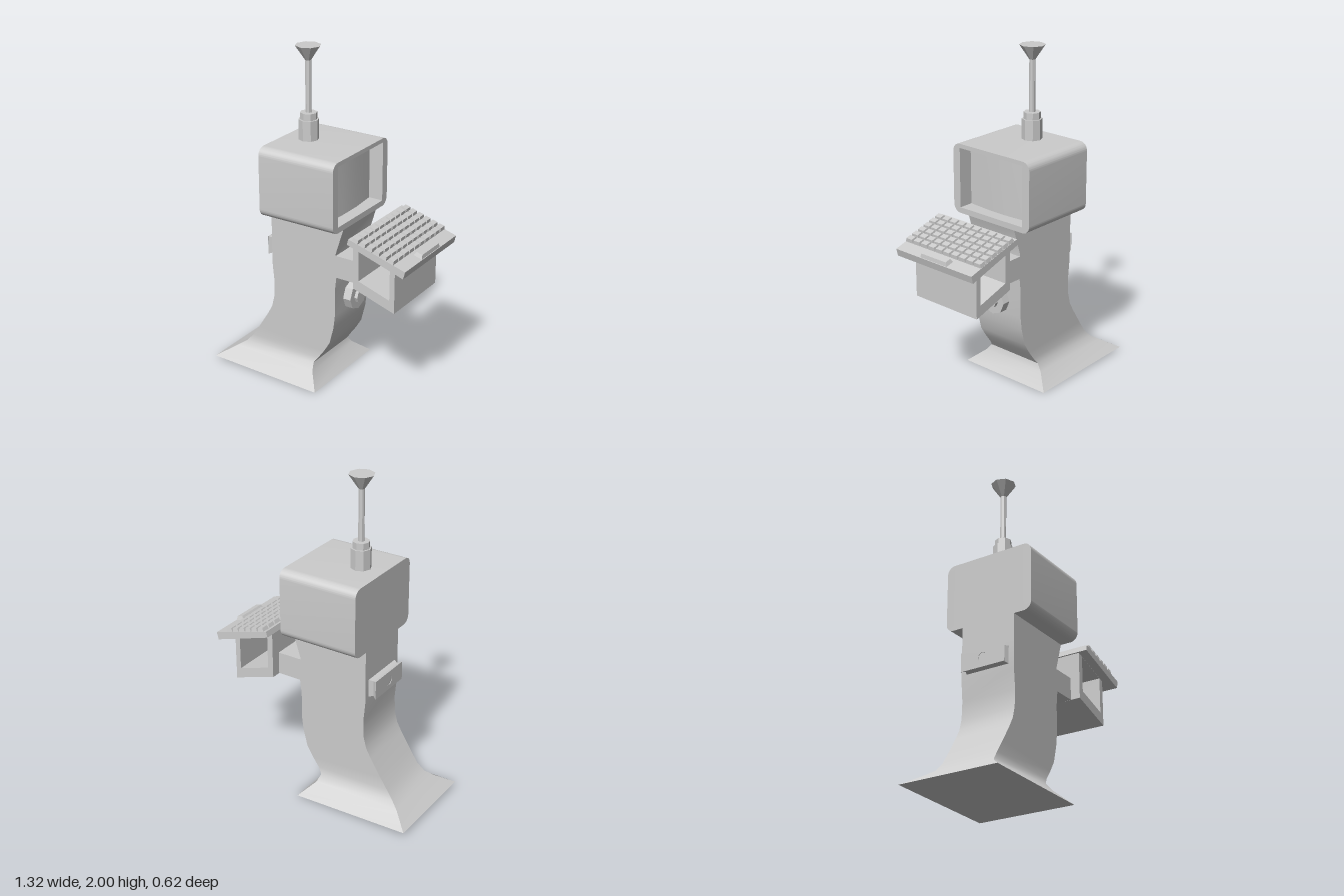
import * as THREE from 'three';
import { toCreasedNormals } from 'three/addons/utils/BufferGeometryUtils.js';

const material = new THREE.MeshStandardMaterial({ color: 0xcccccc });

function add(parent, name, geometry, x = 0, y = 0, z = 0) {
  const mesh = new THREE.Mesh(toCreasedNormals(geometry, 0.6), material);
  mesh.name = name;
  mesh.position.set(x, y, z);
  parent.add(mesh);
  return mesh;
}

// Skin a stack of four-cornered rings, each [backX, backY, frontX, frontY, halfWidthZ]
function loft(rows, capTop = true) {
  const pos = [], index = [], last = (rows.length - 1) * 4;
  for (const [bx, by, fx, fy, w] of rows) pos.push(bx, by, -w, bx, by, w, fx, fy, w, fx, fy, -w);
  for (let r = 0; r < last; r += 4) {
    for (let i = 0; i < 4; i++) {
      const j = (i + 1) % 4;
      index.push(r + i, r + j, r + 4 + j, r + i, r + 4 + j, r + 4 + i);
    }
  }
  index.push(0, 2, 1, 0, 3, 2);
  if (capTop) index.push(last, last + 1, last + 2, last, last + 2, last + 3);
  const g = new THREE.BufferGeometry();
  g.setAttribute('position', new THREE.Float32BufferAttribute(pos, 3));
  g.setIndex(index);
  g.computeVertexNormals();
  return g;
}

// Tapered block standing on y = 0
const block = (hx, hz, h, inset) =>
  loft([[-hx, 0, hx, 0, hz], [-hx + inset, h, hx - inset, h, hz - inset]]);

const polygon = (pts, Type = THREE.Shape) => new Type(pts.map(p => new THREE.Vector2(...p)));

// Side profile in x-y extruded symmetrically across z
function across(shape, halfWidth) {
  return new THREE.ExtrudeGeometry(shape, { depth: halfWidth * 2, bevelEnabled: false })
    .translate(0, 0, -halfWidth);
}

function roundedRect(w, h, r) {
  const s = new THREE.Shape();
  s.absarc(w - r, h - r, r, 0, Math.PI / 2);
  s.absarc(-w + r, h - r, r, Math.PI / 2, Math.PI);
  s.absarc(-w + r, -h + r, r, Math.PI, Math.PI * 1.5);
  s.absarc(w - r, -h + r, r, Math.PI * 1.5, Math.PI * 2);
  s.closePath();
  return s;
}

export function createModel() {
  const model = new THREE.Group();
  model.name = 'computerTerminal';

  // Curved pedestal flaring into a wide foot
  add(model, 'pedestal', loft([
    [-0.66, 0.024, 0.077, 0.003, 0.31],
    [-0.56, 0.087, 0, 0.08, 0.22],
    [-0.51, 0.12, -0.013, 0.12, 0.187],
    [-0.465, 0.17, 0.013, 0.157, 0.175],
    [-0.415, 0.246, 0.055, 0.215, 0.175],
    [-0.35, 0.35, 0.093, 0.278, 0.175],
    [-0.32, 0.405, 0.12, 0.384, 0.175],
    [-0.302, 0.475, 0.13, 0.465, 0.175],
    [-0.298, 0.58, 0.13, 0.63, 0.175],
    [-0.31, 0.7, 0.145, 0.76, 0.175],
    [-0.31, 0.865, 0.135, 0.865, 0.175],
    [-0.31, 1.04, 0.19, 1.04, 0.175],
  ]));

  // Monitor housing, open towards +x, with a gently bulging recessed screen
  const head = new THREE.Group();
  head.name = 'monitor';
  model.add(head);
  const shell = roundedRect(0.288, 0.21, 0.05);
  shell.holes.push(polygon([[-0.237, -0.175], [-0.237, 0.185], [0.237, 0.185], [0.237, -0.175]], THREE.Path));
  add(head, 'monitorShell', new THREE.ExtrudeGeometry(shell, { depth: 0.5, bevelEnabled: false, curveSegments: 8 })
    .rotateY(Math.PI / 2), -0.31, 1.24, 0);
  const screen = polygon([[-0.31, -0.237], [0.1, -0.237], [0.115, -0.07], [0.115, 0.07], [0.1, 0.237], [-0.31, 0.237]]);
  add(head, 'screen', new THREE.ExtrudeGeometry(screen, { depth: 0.36, bevelEnabled: false })
    .rotateX(-Math.PI / 2), 0, 1.065, 0);

  // Antenna: stepped socket, thin rod and funnel tip
  const antenna = new THREE.Group();
  antenna.name = 'antenna';
  antenna.position.x = -0.163;
  model.add(antenna);
  for (const [name, top, bottom, y0, y1] of [
    ['antennaSocket', 0.06, 0.06, 1.44, 1.57],
    ['antennaCollar', 0.05, 0.05, 1.57, 1.61],
    ['antennaRod', 0.018, 0.018, 1.61, 1.915],
    ['antennaTip', 0.075, 0.018, 1.915, 2],
  ]) add(antenna, name, new THREE.CylinderGeometry(top, bottom, y1 - y0, 8), 0, (y0 + y1) / 2, 0);

  // Arm and open bracket carrying the keyboard
  add(model, 'arm', new THREE.BoxGeometry(0.19, 0.137, 0.35), 0.205, 0.786, 0);
  const frame = polygon([[0.29, 1.02], [0.29, 0.717], [0.56, 0.632], [0.56, 0.93]]);
  frame.holes.push(polygon([[0.326, 0.99], [0.528, 0.925], [0.528, 0.705], [0.326, 0.77]], THREE.Path));
  add(model, 'bracket', across(frame, 0.235));

  // Keyboard: wedge tray, ten by six tapered keys and a wide bar
  const keyboard = new THREE.Group();
  keyboard.name = 'keyboard';
  model.add(keyboard);
  add(keyboard, 'tray', across(polygon([
    [0.283, 1.005], [0.643, 0.89], [0.655, 0.935], [0.292, 1.04]]), 0.29));
  const deckY = x => 1.037 - 0.289 * (x - 0.292);
  const keyGeometry = block(0.021, 0.027, 0.025, 0.005);
  for (let c = 0; c < 6; c++) {
    for (let r = 0; r < 10; r++) {
      const x = 0.331 + c * 0.0455;
      add(keyboard, 'key', keyGeometry, x, deckY(x), (r - 4.5) * 0.0583).rotation.z = -0.28;
    }
  }
  add(keyboard, 'wideBar', block(0.028, 0.103, 0.025, 0.01), 0.625, deckY(0.625), 0).rotation.z = -0.28;

  // Octagonal knob below the arm
  const knob = new THREE.Group();
  knob.name = 'knob';
  knob.position.set(0.12, 0.545, 0);
  knob.rotation.z = -Math.PI / 2;
  model.add(knob);
  add(knob, 'knobBase', new THREE.CylinderGeometry(0.087, 0.087, 0.06, 8), 0, 0.03, 0);
  add(knob, 'knobButton', new THREE.CylinderGeometry(0.043, 0.043, 0.08, 8), 0, 0.04, 0);

  // Waisted plate on the back with a round socket
  const plate = new THREE.Group();
  plate.name = 'backPlate';
  plate.position.set(-0.3, 0.787, 0);
  plate.rotation.z = Math.PI / 2;
  model.add(plate);
  add(plate, 'plateBody', loft([
    [-0.057, 0, 0.057, 0, 0.145], [-0.048, 0.035, 0.048, 0.035, 0.13], [-0.057, 0.06, 0.057, 0.06, 0.145]], false));
  const face = polygon([[-0.057, -0.145], [0.057, -0.145], [0.057, 0.145], [-0.057, 0.145]]);
  const hole = new THREE.Path();
  hole.absarc(0, 0, 0.03, 0, Math.PI * 2, true);
  face.holes.push(hole);
  add(plate, 'plateFace', new THREE.ExtrudeGeometry(face, { depth: 0.003, bevelEnabled: false, curveSegments: 6 })
    .rotateX(-Math.PI / 2), 0, 0.057, 0);
  add(plate, 'plateSocket', new THREE.CylinderGeometry(0.036, 0.036, 0.03, 12), 0, 0.033, 0);

  return model;
}
